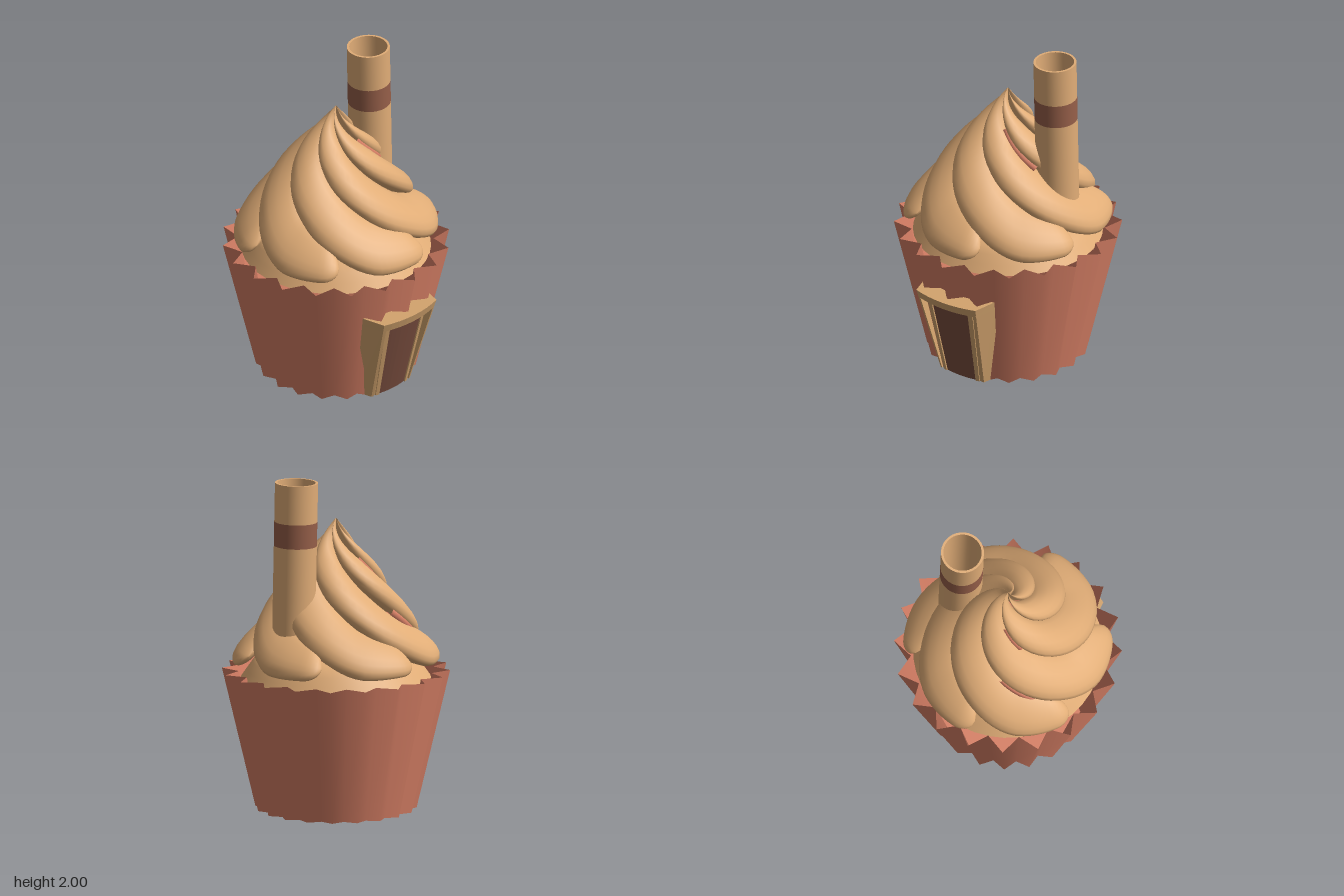
import * as THREE from 'three';

const mat = (name, color, side = THREE.FrontSide) => {
  const m = new THREE.MeshStandardMaterial({ color, side });
  m.name = name;
  return m;
};

// wrapper radius at the pleat tips, by height
const WRAP_H = 0.83;
const tipRadius = (y) => 0.475 + 0.197 * (y / WRAP_H);

function indexed(positions, index) {
  const g = new THREE.BufferGeometry();
  g.setAttribute('position', new THREE.Float32BufferAttribute(positions, 3));
  g.setIndex(index);
  g.computeVertexNormals();
  return g;
}

// Pleated wall: two zigzag rings joined by a strip, shaded softly like a cone
function wrapperWall(pleats) {
  const n = pleats * 2, pos = [], idx = [];
  for (let i = 0; i < n; i++) {
    const a = (i / n) * Math.PI * 2, tip = i % 2 === 0;
    const rb = tip ? 0.475 : 0.425, rt = tip ? 0.672 : 0.575;
    pos.push(rb * Math.cos(a), 0, rb * Math.sin(a), rt * Math.cos(a), WRAP_H, rt * Math.sin(a));
    const p = 2 * i, q = 2 * ((i + 1) % n);
    idx.push(p, p + 1, q, q, p + 1, q + 1);
  }
  const g = indexed(pos, idx);
  const p = g.attributes.position, v = new THREE.Vector3();
  for (let i = 0; i < p.count; i++) {
    v.set(p.getX(i), 0, p.getZ(i)).normalize().setY(-0.21).normalize();
    g.attributes.normal.setXYZ(i, v.x, v.y, v.z);
  }
  return g;
}

function wrapperFloor(pleats) {
  const pts = [];
  for (let i = 0; i < pleats * 2; i++) {
    const a = (i / pleats) * Math.PI, r = i % 2 === 0 ? 0.475 : 0.425;
    pts.push(new THREE.Vector2(r * Math.cos(a), r * Math.sin(a)));
  }
  return new THREE.ShapeGeometry(new THREE.Shape(pts)).rotateX(Math.PI / 2);
}

// Block bent around the wrapper: angles from the front, heights, offsets from the pleat tips;
// flare pushes the front out with height, spread splays the back edge sideways
function bentBlock(a0, a1, y0, y1, inner, outer, flare = 0, spread = 0) {
  const g = new THREE.BoxGeometry(1, 1, 1, 8, 1, 1);
  const p = g.attributes.position;
  for (let i = 0; i < p.count; i++) {
    const front = p.getZ(i) > 0;
    let a = THREE.MathUtils.lerp(a0, a1, p.getX(i) + 0.5);
    if (!front) a *= 1 + spread;
    const y = THREE.MathUtils.lerp(y0, y1, p.getY(i) + 0.5);
    const r = tipRadius(y) + (front ? outer + flare * y : inner);
    p.setXYZ(i, r * Math.sin(a), y, r * Math.cos(a));
  }
  const flat = g.toNonIndexed();
  flat.computeVertexNormals();
  return flat;
}

// Lower edge of a swirl lobe: edge radius, edge height, half-width
const lobePath = new THREE.CatmullRomCurve3([
  [0.625, 0.88, 0.09], [0.595, 0.875, 0.16], [0.49, 1.02, 0.19], [0.37, 1.21, 0.18],
  [0.24, 1.39, 0.135], [0.115, 1.56, 0.08], [0.012, 1.72, 0.015],
].map((k) => new THREE.Vector3(...k)));
const SWEEP = THREE.MathUtils.degToRad(210);
const lobeStart = (i) => THREE.MathUtils.degToRad(12 + 60 * i);

// One swirl lobe: a leaf-like section swept along a rising spiral. The lower lip
// stands out over the lobe beneath, the upper part tucks under the lobe above.
function swirlLobe(startAngle) {
  const rings = 40, sides = 18;
  const pos = [], idx = [];
  for (let i = 0; i <= rings; i++) {
    const t = Math.pow(i / rings, 1.5);
    const k = lobePath.getPoint(t);
    const s = Math.min(1, t / 0.05);
    const round = Math.sqrt(1 - (1 - s) * (1 - s));
    const cr = k.x - 0.82 * k.z, cy = k.y + 0.75 * k.z;
    const a = k.z * round, b = 0.45 * a;
    const th = startAngle + t * SWEEP;
    for (let j = 0; j < sides; j++) {
      const f = (j / sides) * Math.PI * 2;
      const c = Math.cos(f) * (Math.cos(f) > 0 ? 1.4 : 1);
      const d = -b * (Math.sin(f) + 0.45 * c);
      const r = Math.max(0, cr - 0.57 * a * c + 0.82 * d), y = cy + 0.82 * a * c + 0.57 * d;
      pos.push(r * Math.cos(th), y, r * Math.sin(th));
      if (i < rings) {
        const p = i * sides + j, q = i * sides + ((j + 1) % sides);
        idx.push(p, q, p + sides, q, q + sides, p + sides);
      }
    }
  }
  return indexed(pos, idx);
}

// Filling that shows in the groove under a lobe between t0 and t1
function grooveStreak(startAngle, t0, t1) {
  const pts = [];
  for (let i = 0; i <= 6; i++) {
    const t = THREE.MathUtils.lerp(t0, t1, i / 6), k = lobePath.getPoint(t);
    const th = startAngle + t * SWEEP, r = k.x - 0.025;
    pts.push(new THREE.Vector3(r * Math.cos(th), k.y - 0.005, r * Math.sin(th)));
  }
  return new THREE.TubeGeometry(new THREE.CatmullRomCurve3(pts), 16, 0.026, 8);
}

export function createModel() {
  const model = new THREE.Group();
  model.name = 'cupcakeHouse';
  const cream = mat('caramelCream', 0xe1ad77, THREE.DoubleSide);
  const paper = mat('terracottaPaper', 0xd88066, THREE.DoubleSide);
  const band = mat('brownBand', 0x965f49);
  const doorBrown = mat('darkDoor', 0x7a4e3f);
  const wood = mat('tanFrame', 0xd3a46e);

  const add = (parent, name, geometry, material) => {
    const m = new THREE.Mesh(geometry, material);
    m.name = name;
    parent.add(m);
  };
  const group = (name) => {
    const g = new THREE.Group();
    g.name = name;
    model.add(g);
    return g;
  };

  // Wrapper
  const wrapper = group('wrapper');
  add(wrapper, 'wrapperWall', wrapperWall(20), paper);
  add(wrapper, 'wrapperFloor', wrapperFloor(20), paper);

  // Doorway: recessed dark panel, inner jambs, splayed outer frame with lintel
  const doorway = group('doorway');
  add(doorway, 'doorPanel', bentBlock(-0.225, 0.225, 0.002, 0.54, -0.004, 0.004), doorBrown);
  for (const s of [-1, 1]) {
    const span = (a, b) => (s > 0 ? [a, b] : [-b, -a]);
    add(doorway, 'innerJamb', bentBlock(...span(0.215, 0.265), 0, 0.54, -0.06, 0.012), wood);
    add(doorway, 'jambGroove', bentBlock(...span(0.265, 0.295), 0, 0.54, -0.06, 0.004), wood);
    add(doorway, 'outerJamb', bentBlock(...span(0.295, 0.325), 0, 0.54, -0.07, 0.014, 0.065, 0.45), wood);
  }
  add(doorway, 'lintel', bentBlock(-0.325, 0.325, 0.535, 0.588, -0.07, 0.014, 0.065, 0.45), wood);

  // Frosting: base dome, inner filling, six spiral lobes and filling in three grooves
  const frosting = group('frosting');
  const lathe = (pts) => new THREE.LatheGeometry(pts.map((p) => new THREE.Vector2(...p)), 40);
  add(frosting, 'frostingBase', lathe([[0.56, 0.78], [0.525, 0.83], [0.49, 0.88], [0.43, 0.95], [0, 1.0]]), cream);
  add(frosting, 'filling', lathe([[0.4, 0.93], [0.34, 1.08], [0.24, 1.25], [0.15, 1.43], [0, 1.62]]), paper);
  for (let i = 0; i < 6; i++) add(frosting, 'swirlLobe', swirlLobe(lobeStart(i)), cream);
  for (const [i, t0, t1] of [[4, 0.6, 0.8], [2, 0.37, 0.5], [1, 0.66, 0.78]]) {
    add(frosting, 'fillingStreak', grooveStreak(lobeStart(i), t0, t1), paper);
  }

  // Wafer straw chimney, leaning slightly
  const straw = group('straw');
  straw.position.set(0.33, 0.95, -0.045);
  straw.rotation.z = 0.022;
  const R = 0.127, r = 0.113, H = 1.048;
  const tube = (name, radius, y0, y1, material) => {
    const g = new THREE.CylinderGeometry(radius, radius, y1 - y0, 32, 1, true);
    add(straw, name, g.translate(0, (y0 + y1) / 2, 0), material);
  };
  tube('strawLower', R, 0, 0.67, cream);
  tube('strawBand', R, 0.67, 0.815, band);
  tube('strawUpper', R, 0.815, H, cream);
  tube('strawInside', r, 0, H, cream);
  add(straw, 'strawRim', new THREE.RingGeometry(r, R, 32).rotateX(-Math.PI / 2).translate(0, H, 0), cream);

  return model;
}
